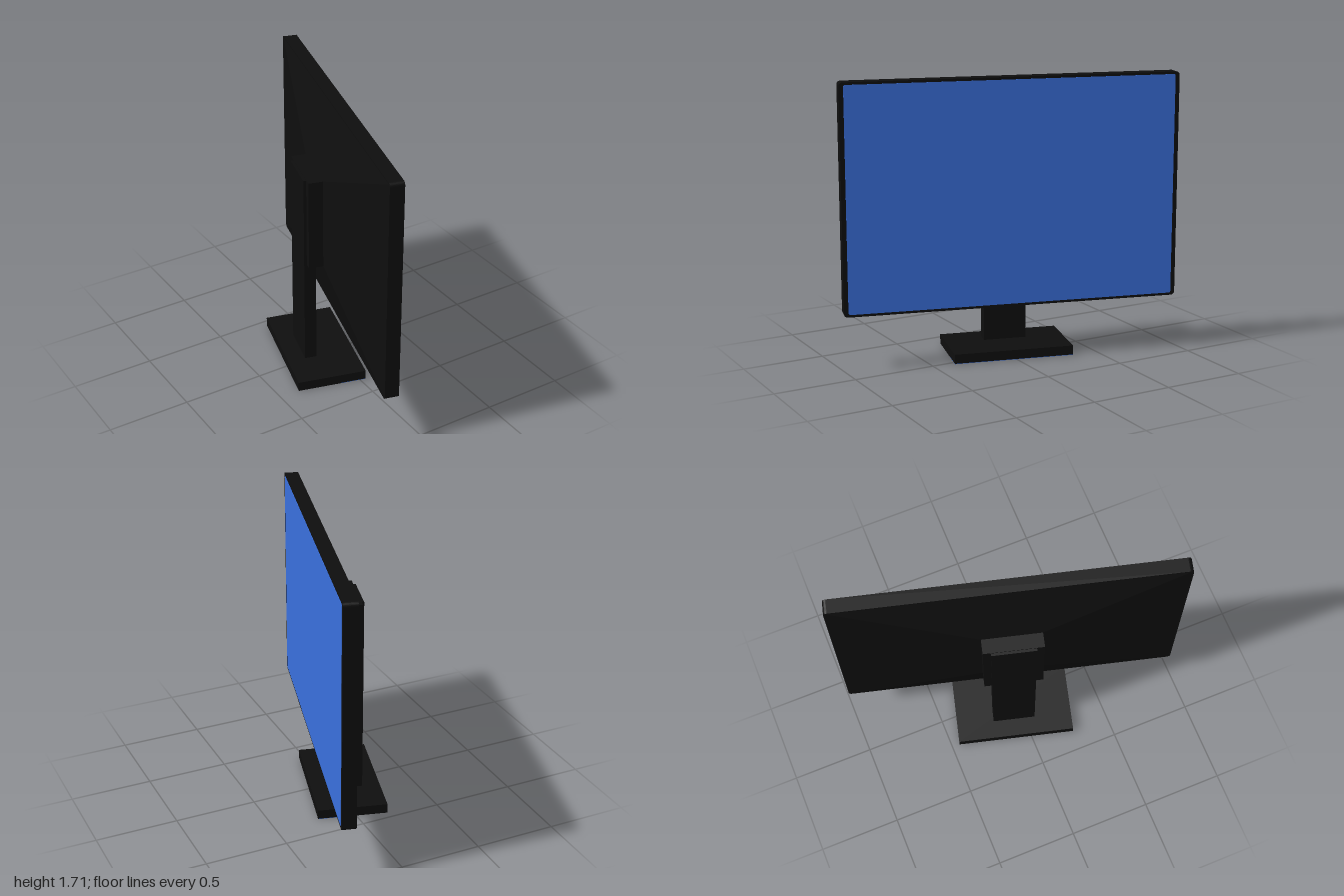
import * as THREE from 'three';

const black = new THREE.MeshStandardMaterial({ color: 0x0e0e0e });
black.name = 'black plastic';
const blue = new THREE.MeshStandardMaterial({ color: 0x3a70de });
blue.name = 'screen blue';

const MID_Y = 1.02; // height of the display centre

function add(parent, name, geometry, material) {
  const mesh = new THREE.Mesh(geometry, material);
  mesh.name = name;
  parent.add(mesh);
  return mesh;
}

// Box given by its centre x, and its ranges in y and z
function box(width, y0, y1, z0, z1) {
  return new THREE.BoxGeometry(width, y1 - y0, z1 - z0)
    .translate(0, (y0 + y1) / 2, (z0 + z1) / 2);
}

// Upright plate with rounded corners
function roundedPlate(width, height, radius, z0, z1) {
  const x = width / 2 - radius, y = height / 2 - radius;
  const s = new THREE.Shape();
  s.absarc(x, y, radius, 0, Math.PI / 2);
  s.absarc(-x, y, radius, Math.PI / 2, Math.PI);
  s.absarc(-x, -y, radius, Math.PI, Math.PI * 1.5);
  s.absarc(x, -y, radius, Math.PI * 1.5, Math.PI * 2);
  return new THREE.ExtrudeGeometry(s, { depth: z1 - z0, bevelEnabled: false, curveSegments: 5 })
    .translate(0, MID_Y, z0);
}

// Box whose rear face is shrunk to form the sloping back
function taperedBack(width, height, rearWidth, rearHeight, zRear, zFront) {
  const g = new THREE.BoxGeometry(width, height, zFront - zRear);
  const p = g.attributes.position;
  for (let i = 0; i < p.count; i++) {
    if (p.getZ(i) < 0) {
      p.setX(i, Math.sign(p.getX(i)) * rearWidth / 2);
      p.setY(i, Math.sign(p.getY(i)) * rearHeight / 2);
    }
  }
  g.computeVertexNormals();
  return g.translate(0, MID_Y, (zRear + zFront) / 2);
}

export function createModel() {
  const model = new THREE.Group();
  model.name = 'monitor';

  // Everything is built facing +z, then swivelled
  const body = new THREE.Group();
  body.name = 'swivelledBody';
  const angle = THREE.MathUtils.degToRad(75);
  body.rotation.y = angle;
  body.position.set(0.02 * Math.cos(angle), 0, -0.02 * Math.sin(angle));
  model.add(body);

  // Display
  add(body, 'displayFrame', roundedPlate(2.044, 1.38, 0.022, 0.021, 0.105), black);
  add(body, 'screen', roundedPlate(1.992, 1.35, 0.012, 0.102, 0.107), blue);
  add(body, 'displayBack', taperedBack(2.036, 1.372, 0.357, 0.57, -0.082, 0.022), black);
  add(body, 'mountBlock', box(0.357, 0.735, 1.305, -0.17, -0.08), black);

  // Stand
  add(body, 'standColumn', box(0.265, 0.05, 1.3, -0.186, -0.113), black);
  add(body, 'standBase', box(0.737, 0.003, 0.06, -0.296, 0.129), black);
  add(body, 'baseUndersideStrip', box(0.735, 0, 0.004, -0.03, 0.128), blue);
  add(body, 'baseUnderside', box(0.735, 0, 0.004, -0.295, -0.03), black);

  return model;
}
